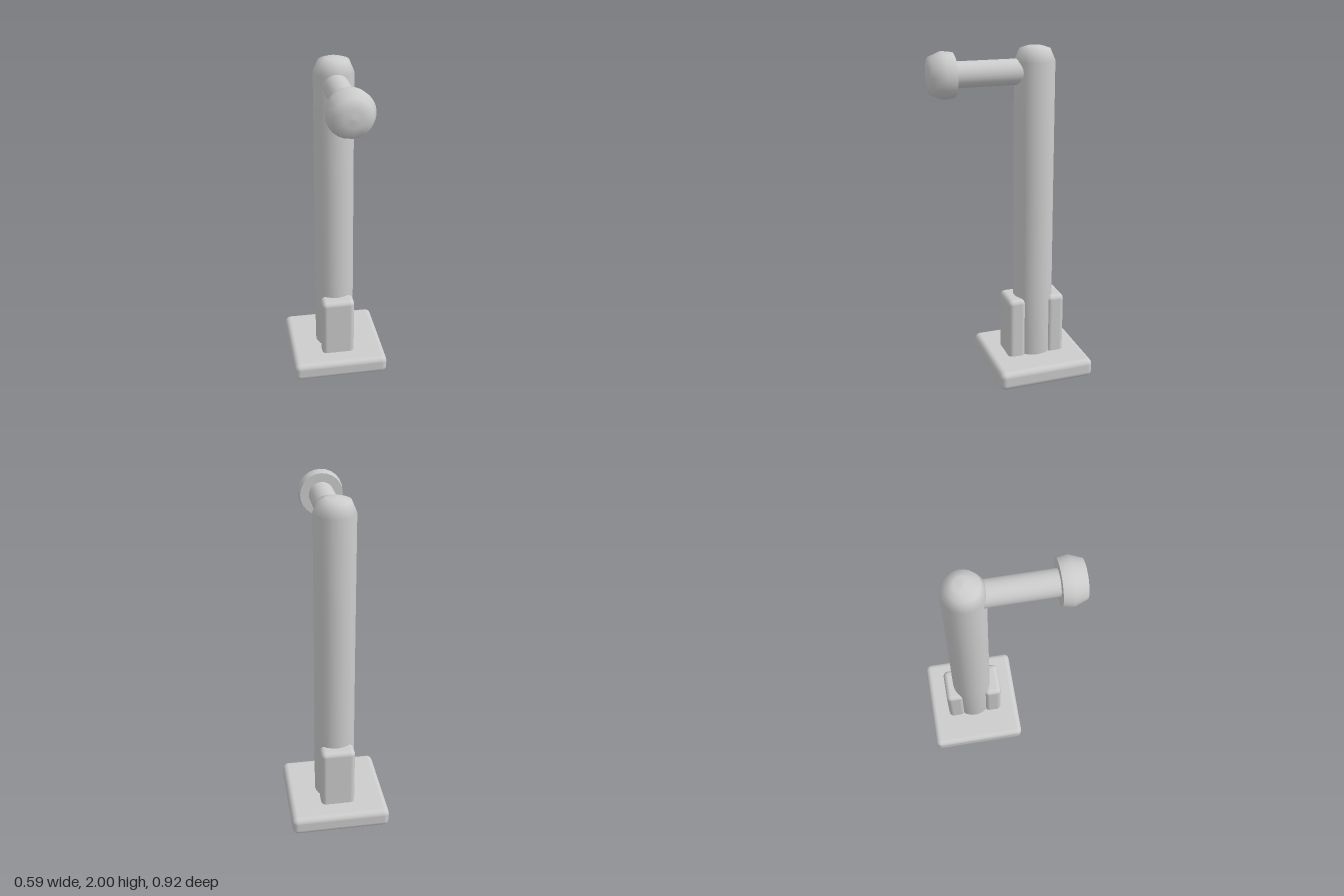
import * as THREE from 'three';
import { RoundedBoxGeometry } from 'three/addons/geometries/RoundedBoxGeometry.js';

export function createModel() {
  const model = new THREE.Group();
  const grey = new THREE.MeshStandardMaterial({ color: 0xcccccc });
  grey.name = 'plainGrey';
  const postZ = -0.165, armY = 1.856;

  const add = (name, geometry, x, y, z) => {
    const mesh = new THREE.Mesh(geometry, grey);
    mesh.name = name;
    mesh.position.set(x, y, z);
    model.add(mesh);
    return mesh;
  };
  const lathe = (profile, segments = 24) =>
    new THREE.LatheGeometry(profile.map(([r, y]) => new THREE.Vector2(r, y)), segments);

  // Square foot plate with soft edges
  add('basePlate', new RoundedBoxGeometry(0.59, 0.115, 0.59, 3, 0.035), 0, 0.0625, postZ);

  // Upright post with a domed top, its rounded foot sunk in the plate
  add('post', lathe([
    [0, 0], [0.085, 0.015], [0.12, 0.08], [0.12, 0.6], [0.118, 1.2],
    [0.117, 1.915], [0.088, 1.982], [0.045, 1.996], [0, 2],
  ]), 0, 0, postZ);

  // Clamping blocks before and behind the post
  for (const [name, z] of [['frontBrace', -0.037], ['backBrace', -0.285]]) {
    add(name, new RoundedBoxGeometry(0.204, 0.42, 0.108, 3, 0.03), 0, 0.283, z);
  }

  // Horizontal arm
  const arm = add('arm', new THREE.CylinderGeometry(0.073, 0.073, 0.48, 24), 0, armY, 0.1);
  arm.rotation.x = Math.PI / 2;

  // Flat back of the knob, then its rounded front
  const headBack = add('headBack', lathe([[0, 0], [0.124, 0]]), 0, armY, 0.312);
  headBack.rotation.x = Math.PI / 2;
  const head = add('head', lathe([
    [0.124, 0], [0.132, 0.06], [0.104, 0.131], [0.05, 0.141], [0, 0.146],
  ]), 0, armY, 0.312);
  head.rotation.x = Math.PI / 2;

  return model;
}
